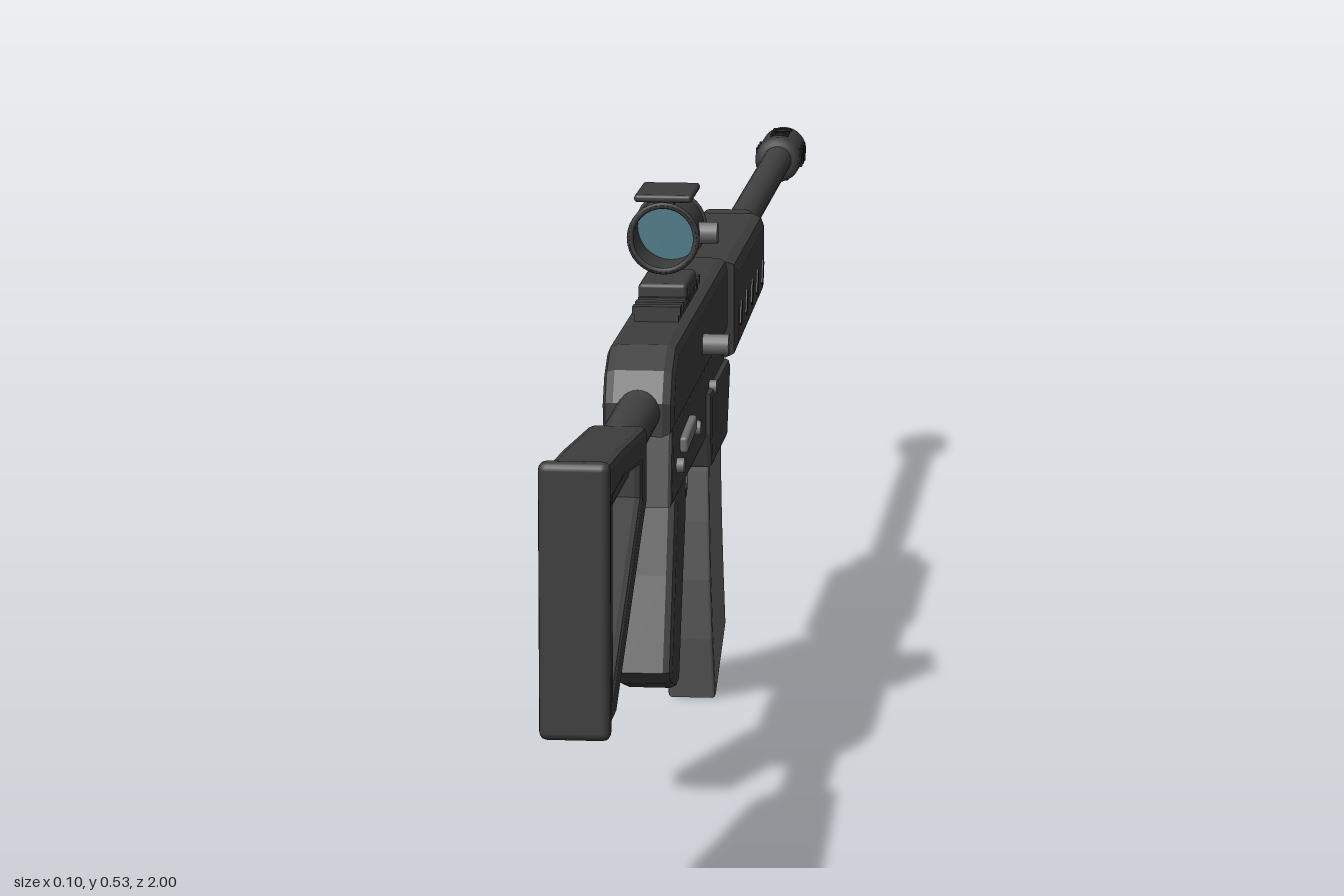
import * as THREE from 'three';
import { RoundedBoxGeometry } from 'three/addons/geometries/RoundedBoxGeometry.js';

const material = (name, color, side = THREE.FrontSide) => {
  const m = new THREE.MeshStandardMaterial({ color, side });
  m.name = name;
  return m;
};

export function createModel() {
  const body = material('charcoal', 0x3e3e3e);
  const metal = material('barrelMetal', 0x424242);
  const tube = material('sightTube', 0x3c3c3c, THREE.DoubleSide);
  const dark = material('slotBlack', 0x202020);
  const magazine = material('magazineGrey', 0x68686a);
  const steel = material('steel', 0x707072);
  const glass = material('lensBlue', 0x4f7c8a, THREE.DoubleSide);

  const model = new THREE.Group();
  const core = new THREE.Group();
  core.name = 'rifle';
  core.position.x = -0.008; // side fittings sit on +x, so the centreline is shifted
  model.add(core);

  const add = (name, geo, mat, x = 0, y = 0, z = 0) => {
    const m = new THREE.Mesh(geo, mat);
    m.name = name;
    m.position.set(x, y, z);
    core.add(m);
    return m;
  };
  // Side profile given as [z, y] points, extruded across x with bevelled edges
  const profile = (name, pts, width, mat, bevel = 0.006, hole = null) => {
    const shape = new THREE.Shape(pts.map(p => new THREE.Vector2(...p)));
    if (hole) shape.holes.push(new THREE.Path(hole.map(p => new THREE.Vector2(...p))));
    const geo = new THREE.ExtrudeGeometry(shape, {
      depth: width - 2 * bevel, bevelEnabled: bevel > 0, bevelThickness: bevel,
      bevelSize: bevel, bevelOffset: -bevel, bevelSegments: 2, curveSegments: 8,
    });
    geo.translate(0, 0, bevel - width / 2).rotateY(-Math.PI / 2);
    return add(name, geo, mat);
  };
  const box = (name, w, h, d, mat, x, y, z, r = 0) =>
    add(name, r ? new RoundedBoxGeometry(w, h, d, 2, r) : new THREE.BoxGeometry(w, h, d), mat, x, y, z);
  const rod = (name, r, z0, z1, y, mat, open = false) =>
    add(name, new THREE.CylinderGeometry(r, r, Math.abs(z1 - z0), 28, 1, open).rotateX(Math.PI / 2),
      mat, 0, y, (z0 + z1) / 2);
  const peg = (name, r, x0, x1, y, z, mat) =>
    add(name, new THREE.CylinderGeometry(r, r, x1 - x0, 16).rotateZ(Math.PI / 2), mat, (x0 + x1) / 2, y, z);

  // Skeleton stock, butt pad and connecting tube
  profile('stockFrame',
    [[0.985, 0.42], [0.87, 0.413], [0.68, 0.396], [0.68, 0.33], [0.92, 0.198], [0.985, 0.198]],
    0.052, body, 0.006,
    [[0.942, 0.385], [0.942, 0.222], [0.725, 0.343], [0.725, 0.37], [0.85, 0.385]]);
  box('buttPad', 0.059, 0.232, 0.018, body, 0, 0.311, 0.991, 0.007);
  rod('stockTube', 0.02, 0.5, 0.7, 0.376, metal);
  box('stockLatch', 0.03, 0.035, 0.16, body, 0, 0.375, 0.775, 0.006);

  // Receiver
  profile('upperReceiver',
    [[0.52, 0.355], [0.52, 0.385], [0.505, 0.412], [0.475, 0.43], [0.005, 0.43], [0.005, 0.355]],
    0.064, body, 0.01);
  profile('lowerReceiver',
    [[0.5, 0.36], [0.515, 0.29], [0.2, 0.29], [0.04, 0.29], [0.015, 0.36]], 0.06, body, 0.004);
  profile('magazineWell',
    [[0.205, 0.296], [0.195, 0.263], [0.05, 0.263], [0.022, 0.32], [0.022, 0.335], [0.205, 0.335]],
    0.071, body, 0.005);
  for (const s of [-1, 1]) {
    for (const [z, y] of [[0.32, 0.325], [0.17, 0.335], [0.47, 0.32]])
      peg('receiverPin', 0.007, s * 0.032 - 0.005, s * 0.032 + 0.005, y, z, steel);
  }
  const selector = box('selectorLever', 0.008, 0.015, 0.085, steel, 0.033, 0.335, 0.4, 0.003);
  selector.rotation.x = 0.06;
  peg('chargingHandle', 0.01, 0.02, 0.056, 0.39, 0.25, steel);

  // Grip, trigger guard and trigger
  profile('pistolGrip',
    [[0.43, 0.295], [0.35, 0.295], [0.355, 0.245], [0.375, 0.2], [0.41, 0.113], [0.422, 0.104],
      [0.475, 0.12], [0.485, 0.132], [0.455, 0.215]], 0.053, body, 0.008);
  profile('triggerGuard',
    [[0.337, 0.295], [0.337, 0.246], [0.327, 0.237], [0.205, 0.237], [0.197, 0.246], [0.197, 0.295]],
    0.024, body, 0.001,
    [[0.329, 0.293], [0.329, 0.25], [0.324, 0.245], [0.209, 0.245], [0.205, 0.25], [0.205, 0.293]]);

  // Curved magazine
  profile('magazine',
    [[0.105, 0.285], [0.103, 0.24], [0.097, 0.19], [0.085, 0.13], [0.065, 0.067], [0.038, 0.003],
      [-0.065, 0.054], [-0.045, 0.11], [-0.028, 0.168], [-0.017, 0.225], [-0.013, 0.285]],
    0.046, magazine, 0.003);

  // Handguard with slanted vents
  profile('handguard',
    [[0.008, 0.427], [-0.285, 0.427], [-0.29, 0.42], [-0.29, 0.36], [-0.272, 0.343], [0.008, 0.333]],
    0.082, body, 0.012);
  for (const s of [-1, 1]) {
    for (let i = 0; i < 5; i++) {
      const vent = box('handguardVent', 0.004, 0.024, 0.011, dark, s * 0.0405, 0.372, -0.025 - i * 0.058);
      vent.rotation.x = -0.4;
    }
  }
  box('handguardCap', 0.052, 0.06, 0.05, body, 0, 0.394, -0.311, 0.008);

  // Barrel and muzzle device
  rod('barrel', 0.0155, -0.32, -0.92, 0.387, metal);
  const muzzle = [[0, 0], [0.019, 0], [0.025, 0.007], [0.025, 0.085], [0.019, 0.097], [0.01, 0.097], [0.01, 0.07], [0, 0.07]];
  add('muzzleDevice', new THREE.LatheGeometry(muzzle.map(p => new THREE.Vector2(...p)), 28)
    .rotateX(-Math.PI / 2), body, 0, 0.387, -0.903);
  for (let i = 0; i < 3; i++) {
    for (const a of [0, Math.PI / 2, Math.PI, Math.PI * 1.5]) {
      const slot = box('muzzleSlot', 0.004, 0.02, 0.009, dark,
        Math.cos(a) * 0.0235, 0.387 + Math.sin(a) * 0.0235, -0.928 - i * 0.021);
      slot.rotation.z = a;
    }
  }

  // Toothed rail and sight mount
  box('rail', 0.04, 0.012, 0.18, body, 0, 0.433, 0.27);
  for (let i = 0; i < 8; i++) box('railTooth', 0.044, 0.008, 0.013, body, 0, 0.44, 0.354 - i * 0.024);
  box('sightMount', 0.045, 0.018, 0.085, body, 0, 0.447, 0.265, 0.004);

  // Sight: hollow tube, end rings, lens, hood and dial
  rod('sightBody', 0.031, 0.225, 0.305, 0.497, tube, true);
  for (const z of [0.229, 0.301])
    add('sightRing', new THREE.TorusGeometry(0.0305, 0.003, 8, 32), body, 0, 0.497, z);
  add('lens', new THREE.CircleGeometry(0.031, 32), glass, 0, 0.497, 0.232);
  box('sightHood', 0.053, 0.007, 0.08, body, 0, 0.534, 0.265, 0.003);
  box('hoodPost', 0.018, 0.008, 0.06, body, 0, 0.529, 0.265);
  peg('sightDial', 0.01, 0.029, 0.047, 0.497, 0.265, steel);

  return model;
}
